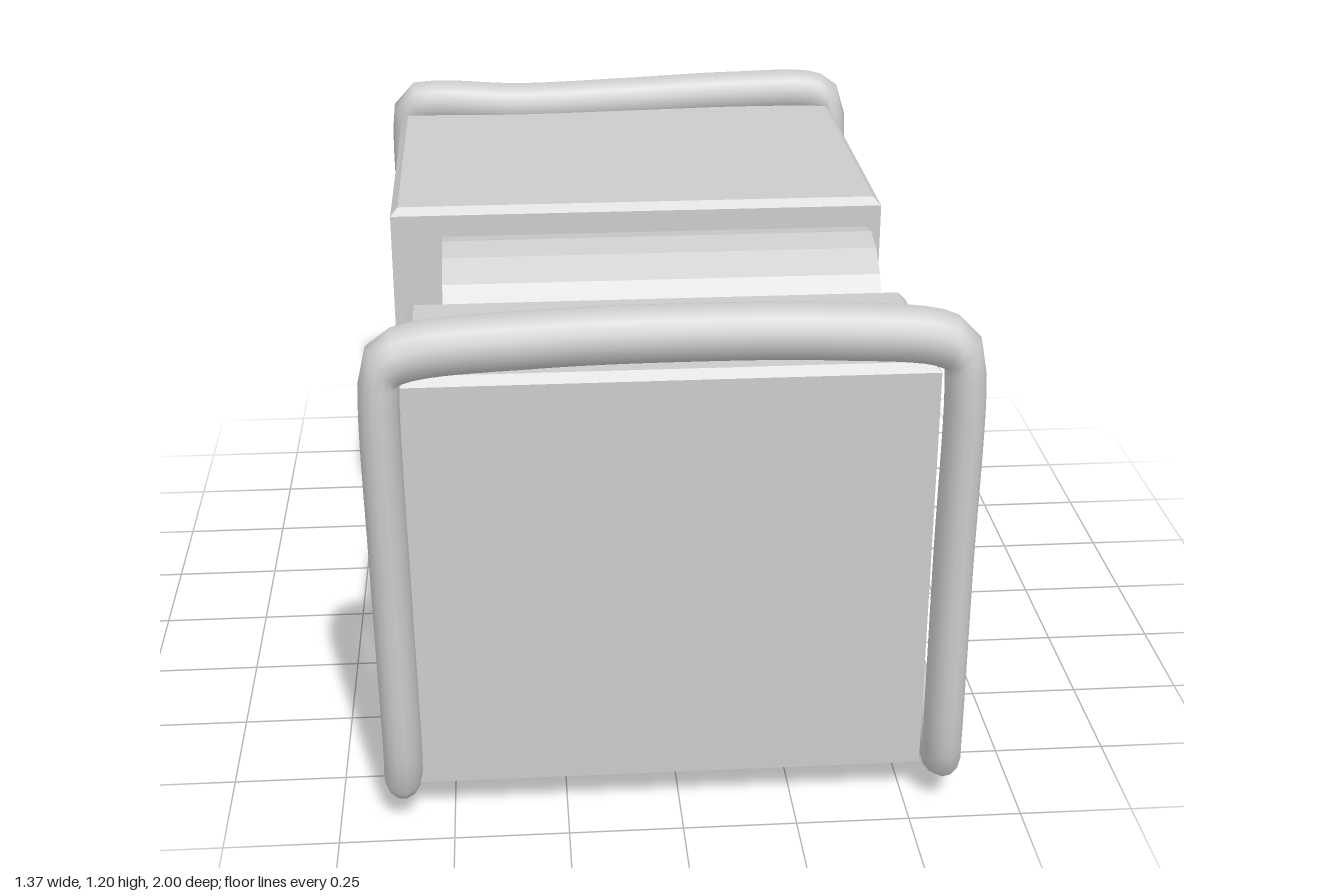
import * as THREE from 'three';

const grey = new THREE.MeshStandardMaterial({ color: 0xcccccc });
const flatGrey = new THREE.MeshStandardMaterial({ color: 0xcccccc, flatShading: true });

export function createModel() {
  const root = new THREE.Group();

  const add = (name, geometry, material = flatGrey) => {
    const mesh = new THREE.Mesh(geometry, material);
    mesh.name = name;
    root.add(mesh);
    return mesh;
  };

  // Box from its limits; chamfer > 0 bevels the top edges except the rear one.
  const box = (name, [x0, x1], [y0, y1], [z0, z1], chamfer = 0) => {
    const w = x1 - x0, h = y1 - y0, d = z1 - z0;
    const g = new THREE.BoxGeometry(w, h, d, 1, chamfer ? 2 : 1, 1);
    if (chamfer) {
      const p = g.attributes.position;
      for (let i = 0; i < p.count; i++) {
        if (Math.abs(p.getY(i)) < 1e-6) p.setY(i, h / 2 - chamfer);
        else if (p.getY(i) > 0) {
          p.setX(i, p.getX(i) - Math.sign(p.getX(i)) * chamfer);
          if (p.getZ(i) > 0) p.setZ(i, p.getZ(i) - chamfer);
        }
      }
      g.computeVertexNormals();
    }
    g.translate((x0 + x1) / 2, (y0 + y1) / 2, (z0 + z1) / 2);
    return add(name, g);
  };

  // Cylinder lying along x.
  const drum = (name, [x0, x1], y, z, r, sides) => {
    const g = new THREE.CylinderGeometry(r, r, x1 - x0, sides);
    g.rotateZ(Math.PI / 2);
    g.translate((x0 + x1) / 2, y, z);
    return add(name, g);
  };

  const curve = (points, closed = false) =>
    new THREE.CatmullRomCurve3(points.map((p) => new THREE.Vector3(...p)), closed, 'centripetal');

  // Rear housing: core, side panel with two socket openings, bevelled lid
  box('rearHousing', [-0.63, 0.545], [0.085, 1.06], [-0.9, -0.058]);
  box('rearHousingLid', [-0.63, 0.575], [1.058, 1.082], [-0.9, -0.058], 0.018);
  const rect = (Type, u0, u1, v0, v1) => {
    const s = new Type();
    s.moveTo(u0, v0).lineTo(u1, v0).lineTo(u1, v1).lineTo(u0, v1).closePath();
    return s;
  };
  const panel = rect(THREE.Shape, 0.058, 0.9, 0.085, 1.06); // u = -z, v = y
  panel.holes.push(rect(THREE.Path, 0.245, 0.34, 0.435, 0.57), rect(THREE.Path, 0.5, 0.61, 0.435, 0.57));
  const panelGeometry = new THREE.ExtrudeGeometry(panel, { depth: 0.03, bevelEnabled: false });
  panelGeometry.rotateY(Math.PI / 2);
  panelGeometry.translate(0.545, 0, 0);
  add('socketPanel', panelGeometry);

  // Front housing
  box('frontHousing', [-0.575, 0.535], [0.085, 1.048], [0.495, 0.91], 0.018);

  // Inner blocks and drums
  box('leftLowerBlock', [-0.56, -0.09], [0.13, 0.455], [0.03, 0.49]);
  box('rightLowerBlock', [0.02, 0.535], [0.085, 0.33], [0.17, 0.497]);
  box('rightUpperBlock', [0, 0.47], [0.34, 0.68], [-0.06, 0.405]);
  box('rightRearLedge', [0, 0.47], [0.33, 0.455], [0.4, 0.497]);
  box('leftUpperBlock', [-0.48, 0], [0.455, 0.695], [-0.06, 0.28]);
  drum('mainDrum', [-0.5, 0.515], 0.875, 0.145, 0.195, 16);
  drum('upperSmallDrum', [-0.54, 0.05], 0.57, 0.36, 0.11, 16);
  drum('lowerSmallDrum', [-0.09, 0.55], 0.23, 0.06, 0.11, 16);

  // Tubular frame: one closed loop of two hoops and two bottom rails,
  // with an oval section narrower across x
  const squash = 0.7;
  const framePath = [
    // front hoop
    [-0.607, 0.16, 0.925], [-0.612, 0.6, 0.935], [-0.615, 1.03, 0.935], [-0.607, 1.09, 0.93],
    [-0.56, 1.113, 0.925], [-0.3, 1.133, 0.92], [0, 1.139, 0.92], [0.3, 1.133, 0.92],
    [0.53, 1.112, 0.925], [0.57, 1.085, 0.93], [0.578, 1.02, 0.935], [0.577, 0.6, 0.935],
    [0.58, 0.16, 0.925],
    // rail on the model's left
    [0.585, 0.1, 0.9], [0.588, 0.09, 0.8], [0.585, 0.08, 0.3], [0.59, 0.066, -0.3],
    [0.585, 0.062, -0.82], [0.583, 0.08, -0.91],
    // rear hoop
    [0.58, 0.16, -0.93], [0.578, 0.6, -0.92], [0.578, 1.02, -0.925], [0.57, 1.08, -0.935],
    [0.53, 1.105, -0.938], [0.3, 1.108, -0.945], [0, 1.1, -0.93], [-0.3, 1.095, -0.915],
    [-0.55, 1.105, -0.92], [-0.605, 1.09, -0.925], [-0.615, 1.02, -0.925], [-0.61, 0.6, -0.92],
    [-0.615, 0.16, -0.93],
    // rail on the model's right
    [-0.622, 0.08, -0.91], [-0.627, 0.063, -0.82], [-0.636, 0.07, -0.3], [-0.64, 0.08, 0.2],
    [-0.615, 0.09, 0.8], [-0.61, 0.1, 0.9],
  ].map(([x, y, z]) => [x / squash, y, z]);
  const frame = add('tubularFrame', new THREE.TubeGeometry(curve(framePath, true), 260, 0.06, 14, true), grey);
  frame.scale.x = squash;

  // Loose cables running to the sockets
  const cables = {
    frontCable: [
      [0.535, 0.78, 0.63], [0.55, 0.64, 0.61], [0.57, 0.56, 0.55], [0.575, 0.54, 0.38],
      [0.53, 0.51, 0.2], [0.57, 0.5, 0.05], [0.65, 0.53, -0.1], [0.645, 0.515, -0.22], [0.55, 0.545, -0.3],
    ],
    drumCable: [
      [0.51, 0.77, 0.19], [0.56, 0.7, 0.1], [0.635, 0.63, -0.05], [0.66, 0.62, -0.15],
      [0.67, 0.57, -0.35], [0.63, 0.5, -0.5], [0.55, 0.49, -0.57],
    ],
  };
  for (const [name, points] of Object.entries(cables)) {
    const material = new THREE.MeshStandardMaterial({ color: 0xcccccc, side: THREE.DoubleSide });
    add(name, new THREE.TubeGeometry(curve(points), 60, 0.012, 8), material);
  }

  return root;
}
